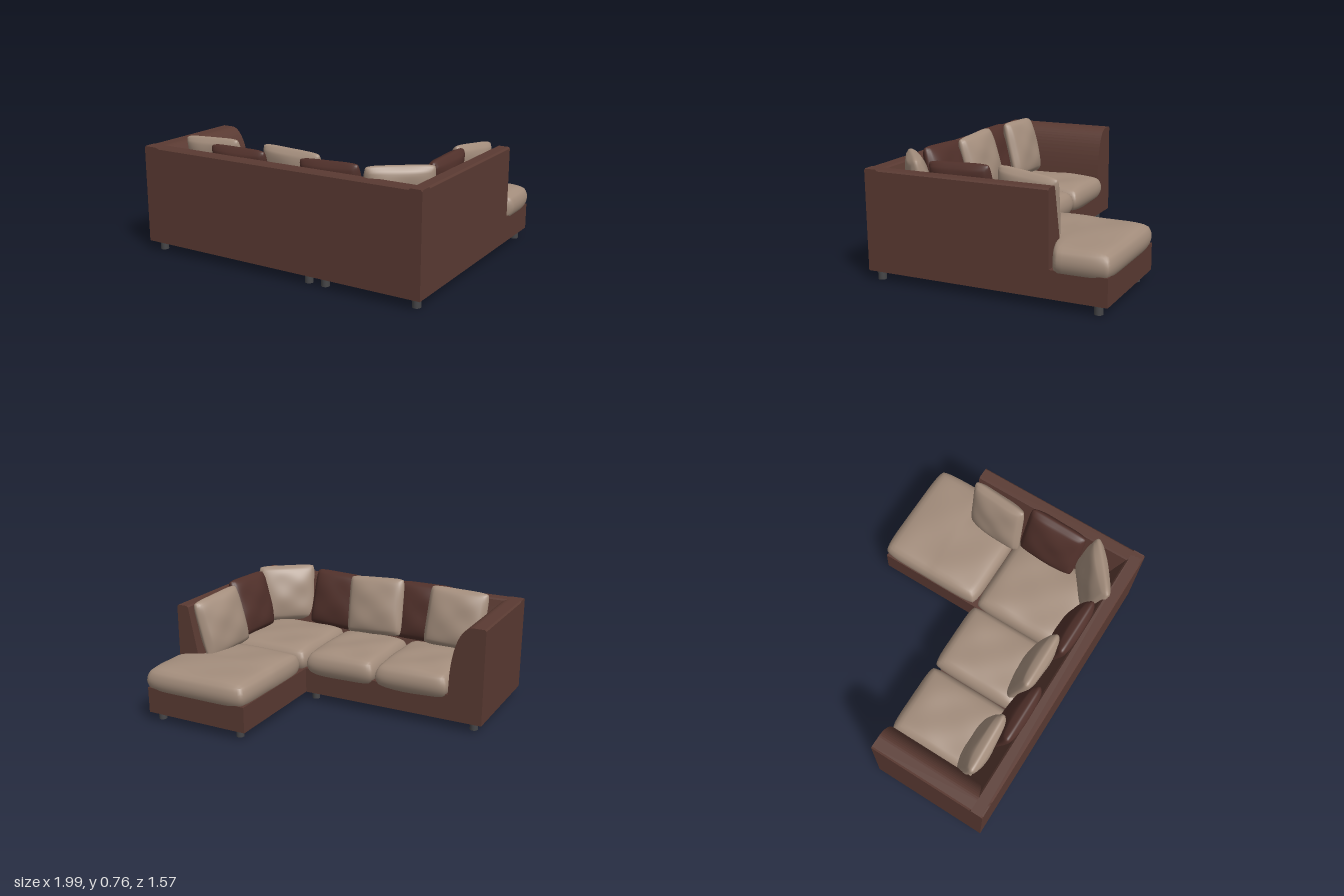
import * as THREE from 'three';
import { mergeVertices } from 'three/addons/utils/BufferGeometryUtils.js';

const mat = (name, color) => {
  const m = new THREE.MeshStandardMaterial({ color });
  m.name = name;
  return m;
};

// Soft stuffed shape: w by h outline, thickness t along z, thinner at the edges
function stuffed(w, h, t, edge, power, corner, bulge, seed) {
  const g = new THREE.BoxGeometry(2, 2, 2, 26, 26, 6);
  g.deleteAttribute('uv');
  g.deleteAttribute('normal');
  const geo = mergeVertices(g);
  const p = geo.attributes.position;
  for (let i = 0; i < p.count; i++) {
    const u = p.getX(i), v = p.getY(i), d = p.getZ(i);
    const dome = Math.sqrt((1 - Math.abs(u) ** power) * (1 - Math.abs(v) ** power));
    const round = 1 - corner * Math.abs(u * v) ** 6;
    const ripple = 0.005 * dome * Math.sin(4 * u + seed) * Math.cos(5 * v + 2 * seed);
    p.setXYZ(i,
      u * round * (w / 2 - bulge * d * d),
      v * round * (h / 2 - bulge * d * d),
      d * (t / 2 * (edge + (1 - edge) * dome) + ripple));
  }
  return geo;
}

export function createModel() {
  const root = new THREE.Group();
  const brown = mat('brown upholstery', 0x5a3a32);
  const darkBrown = mat('dark brown fabric', 0x50302a);
  const beige = mat('beige fabric', 0xa38d7c);
  const grey = mat('dark grey legs', 0x454547);

  const add = (name, geo, material, x = 0, y = 0, z = 0) => {
    const m = new THREE.Mesh(geo, material);
    m.name = name;
    m.position.set(x, y, z);
    root.add(m);
    return m;
  };
  const polygon = pts => new THREE.Shape(pts.map(([x, y]) => new THREE.Vector2(x, y)));
  const extrude = (shape, depth) =>
    new THREE.ExtrudeGeometry(shape, { depth, bevelEnabled: false, curveSegments: 16 });

  // L-shaped base, drawn in plan and raised
  const plan = polygon([[-1, -0.78], [0.975, -0.78], [0.975, 0.77], [0.25, 0.77], [0.25, 0], [-1, 0]]);
  add('base', extrude(plan, 0.17).rotateX(-Math.PI / 2), brown, 0, 0.06, 0);

  // Long backrest with a sloping inner face
  const back = polygon([[-0.78, 0.23], [-0.53, 0.23], [-0.69, 0.68], [-0.70, 0.69], [-0.77, 0.69], [-0.78, 0.68]]);
  add('longBackrest', extrude(back, 1.975).rotateY(Math.PI / 2), brown, -1);

  // Short backrest beside the chaise
  const side = polygon([[0.975, 0.23], [0.975, 0.68], [0.965, 0.69], [0.90, 0.69], [0.89, 0.68], [0.80, 0.23]]);
  add('shortBackrest', extrude(side, 1.2), brown, 0, 0, -0.42);

  // Armrest with a curved inner shoulder
  const arm = polygon([[-1, 0.23], [-0.77, 0.23], [-0.775, 0.36]]);
  arm.bezierCurveTo(-0.79, 0.58, -0.85, 0.69, -0.92, 0.69);
  arm.lineTo(-0.99, 0.69);
  arm.lineTo(-1, 0.68);
  add('armrest', extrude(arm, 0.78), brown);

  // Seat cushions: x range, z range
  [[-0.775, -0.27, -0.05, 0.57], [-0.262, 0.235, -0.05, 0.57], [0.243, 0.83, -0.045, 0.6]]
    .forEach(([x0, x1, z0, z1], i) => {
      const geo = stuffed(x1 - x0, z1 - z0, 0.2, 0.6, 4, 0.05, 0.018, i * 2 + 1);
      geo.rotateX(-Math.PI / 2).computeVertexNormals();
      add('seatCushion', geo, beige, (x0 + x1) / 2, 0.28, (z0 + z1) / 2);
    });

  // Chaise cushion, narrowed where the short backrest stands
  const chaise = stuffed(0.75, 0.74, 0.2, 0.6, 4, 0.05, 0.018, 4);
  chaise.rotateX(-Math.PI / 2).translate(0.62, 0.28, -0.42);
  const cp = chaise.attributes.position;
  for (let i = 0; i < cp.count; i++) {
    const k = 1 - 0.2 * THREE.MathUtils.smoothstep(cp.getZ(i), -0.46, -0.38);
    cp.setX(i, 0.245 + (cp.getX(i) - 0.245) * k);
  }
  chaise.computeVertexNormals();
  add('chaiseCushion', chaise, beige);

  // Loose pillows: material, position, yaw, lean, roll
  [
    [beige, -0.61, 0.56, 0.53, 0.04, 0.25, 0.04],
    [darkBrown, -0.345, 0.545, 0.615, 0, 0.25, 0],
    [beige, -0.01, 0.565, 0.54, 0, 0.25, -0.05],
    [darkBrown, 0.315, 0.545, 0.61, 0, 0.25, 0.04],
    [beige, 0.715, 0.56, 0.56, 0.66, 0.22, 0],
    [darkBrown, 0.80, 0.56, 0.205, Math.PI / 2, 0.25, 0.03],
    [beige, 0.775, 0.54, -0.205, Math.PI / 2 - 0.15, 0.2, -0.1],
  ].forEach(([material, x, y, z, yaw, lean, roll], i) => {
    const geo = stuffed(0.41, 0.4, 0.14, 0.22, 2.5, 0.05, 0.006, i * 1.7);
    geo.computeVertexNormals();
    add('pillow', geo, material, x, y, z).rotation.set(lean, yaw, roll, 'YXZ');
  });

  // Legs
  const leg = new THREE.CylinderGeometry(0.026, 0.026, 0.06, 16);
  [[-0.93, 0.72], [0.21, 0.72], [0.325, 0.72], [0.925, 0.72],
    [-0.93, 0.07], [0.21, 0.07], [0.325, -0.7], [0.925, -0.7]]
    .forEach(([x, z]) => add('leg', leg, grey, x, 0.03, z));

  return root;
}
